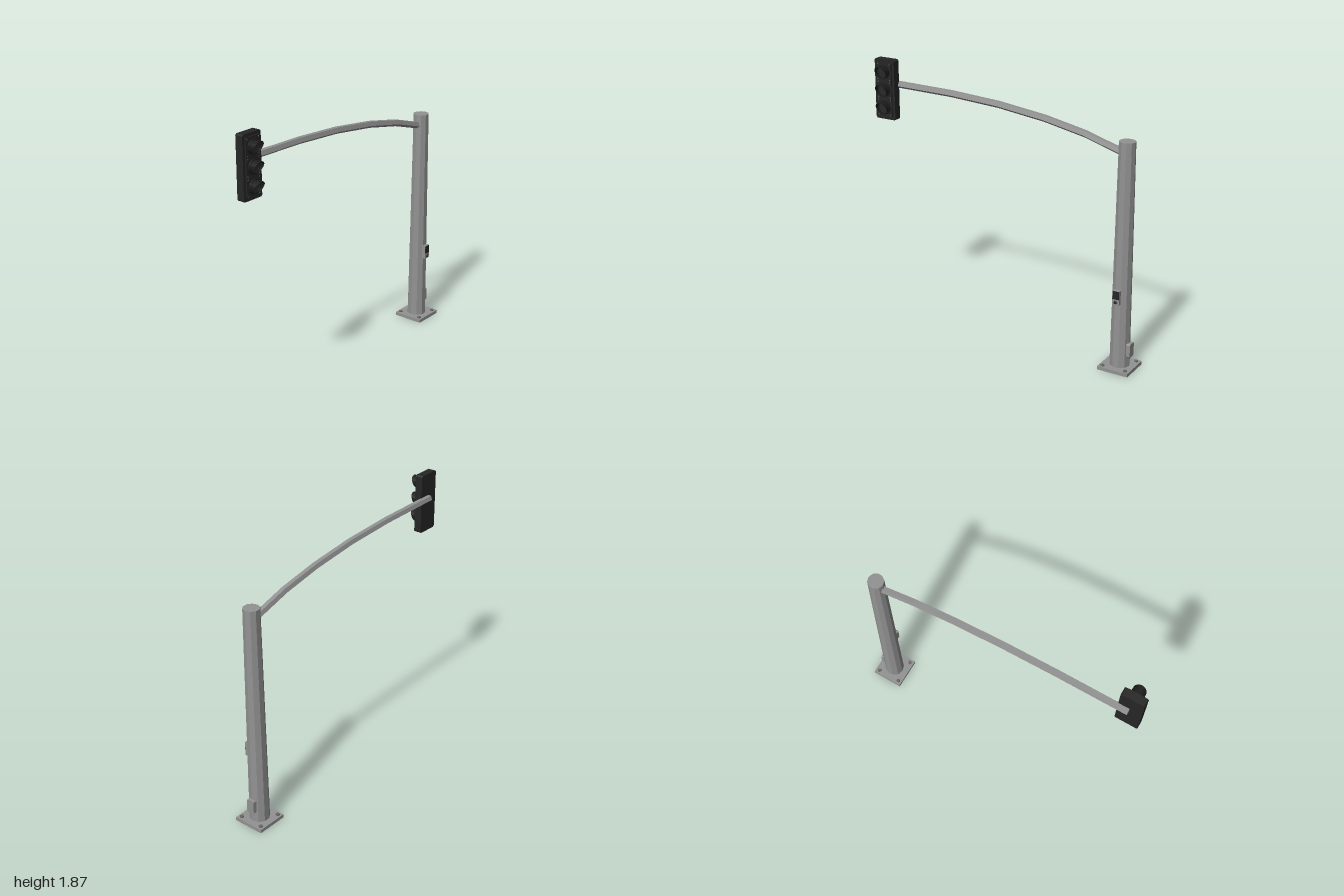
import * as THREE from 'three';

const mat = (name, color, opts = {}) => {
  const m = new THREE.MeshStandardMaterial({ color, flatShading: true, ...opts });
  m.name = name;
  return m;
};

export function createModel() {
  const steel = mat('galvanised grey', 0x929292);
  const bolt = mat('bolt grey', 0x686868);
  const dark = mat('housing black', 0x262626);
  const black = mat('visor black', 0x1c1c1c, { side: THREE.DoubleSide });
  const lensMat = mat('unlit lens', 0x292929);

  const model = new THREE.Group();
  model.name = 'trafficSignal';
  const PX = -0.016, PZ = -0.89;

  const add = (name, geo, material, x, y, z, parent = model) => {
    const mesh = new THREE.Mesh(geo, material);
    mesh.name = name;
    mesh.position.set(x, y, z);
    parent.add(mesh);
    return mesh;
  };
  const box = (w, h, d) => new THREE.BoxGeometry(w, h, d);
  // cylinder whose axis runs along +x
  const discX = (r, len, n) => new THREE.CylinderGeometry(r, r, len, n).rotateZ(-Math.PI / 2);
  // slab with chamfered corners: width along z, height along y, depth along +x
  const slabX = (w, h, depth, c) => {
    const a = w / 2, b = h / 2;
    const shape = new THREE.Shape([
      [-a + c, -b], [a - c, -b], [a, -b + c], [a, b - c],
      [a - c, b], [-a + c, b], [-a, b - c], [-a, -b + c],
    ].map(([x, y]) => new THREE.Vector2(x, y)));
    return new THREE.ExtrudeGeometry(shape, { depth, bevelEnabled: false }).rotateY(Math.PI / 2);
  };

  // Base plate with four anchor bolts
  add('basePlate', box(0.22, 0.024, 0.22), steel, PX, 0.012, PZ);
  for (const sx of [-1, 1]) for (const sz of [-1, 1]) {
    add('anchorBolt', new THREE.CylinderGeometry(0.014, 0.014, 0.008, 6), bolt,
      PX + sx * 0.084, 0.028, PZ + sz * 0.082);
  }

  // Tapered ten-sided pole
  add('pole', new THREE.CylinderGeometry(0.055, 0.068, 1.542, 10), steel, PX, 0.791, PZ);

  // Rear access box
  add('accessBox', slabX(0.058, 0.097, 0.036, 0.007).rotateY(Math.PI / 2), steel, PX, 0.145, -0.939);

  // Push-button unit on the side of the pole
  add('buttonBox', box(0.03, 0.098, 0.048), steel, 0.054, 0.529, -0.886);
  add('buttonSign', box(0.003, 0.056, 0.046), dark, 0.0695, 0.549, -0.886);
  add('buttonRing', discX(0.014, 0.004, 10), bolt, 0.07, 0.5, -0.886);
  add('button', discX(0.009, 0.01, 10), dark, 0.074, 0.5, -0.886);

  // Curved mast arm: pentagon section, flat on top, swept along [z, y] points
  const path = [[-0.88, 1.478], [-0.594, 1.563], [-0.3, 1.62], [0.05, 1.662], [0.42, 1.683], [0.918, 1.69]];
  const N = 5, R = 0.025, pos = [], idx = [];
  path.forEach(([z, y], i) => {
    const p = path[Math.max(i - 1, 0)], q = path[Math.min(i + 1, path.length - 1)];
    const slope = Math.atan2(q[1] - p[1], q[0] - p[0]);
    for (let k = 0; k < N; k++) {
      const a = -Math.PI / 2 + (k / N) * Math.PI * 2;
      const u = R * Math.sin(a);
      pos.push(R * Math.cos(a), y + u * Math.cos(slope), z - u * Math.sin(slope));
      if (i < path.length - 1) {
        const b = i * N, k2 = (k + 1) % N;
        idx.push(b + k, b + k2, b + N + k2, b + k, b + N + k2, b + N + k);
      }
    }
  });
  const last = (path.length - 1) * N;
  for (let k = 1; k < N - 1; k++) {
    idx.push(0, k + 1, k, last, last + k, last + k + 1);
  }
  const armGeo = new THREE.BufferGeometry();
  armGeo.setAttribute('position', new THREE.Float32BufferAttribute(pos, 3));
  armGeo.setIndex(idx);
  armGeo.computeVertexNormals();
  add('mastArm', armGeo, steel, PX, 0, 0);

  // Signal head facing +x
  const head = new THREE.Group();
  head.name = 'signalHead';
  head.position.set(0, 1.657, 0.92);
  model.add(head);
  add('housing', slabX(0.16, 0.42, 0.054, 0.009), dark, -0.006, 0, 0, head);
  add('frontPanel', slabX(0.12, 0.378, 0.01, 0.005), dark, 0.047, 0, 0, head);

  for (const y of [0.125, 0, -0.125]) {
    // Lens and its collar
    add('lensCollar', new THREE.CylinderGeometry(0.048, 0.048, 0.018, 16, 1, true).rotateZ(-Math.PI / 2),
      black, 0.064, y, 0, head);
    add('lens', discX(0.039, 0.008, 16), lensMat, 0.06, y, 0, head);
    // Rim closing the gap between lens and collar
    add('lensRim', new THREE.RingGeometry(0.037, 0.048, 16).rotateY(Math.PI / 2), black, 0.0725, y, 0, head);

    // Hood: a tube cut on a slant, long above and short below
    const hood = new THREE.CylinderGeometry(0.044, 0.044, 1, 16, 1, true).rotateZ(-Math.PI / 2);
    const p = hood.attributes.position;
    for (let i = 0; i < p.count; i++) {
      const reach = 0.003 + 0.047 * (p.getY(i) + 0.044) / 0.088;
      p.setX(i, p.getX(i) > 0 ? reach : 0);
    }
    hood.computeVertexNormals();
    add('visor', hood, black, 0.072, y, 0, head);

    // Panel screws
    for (const sy of [-1, 1]) for (const sz of [-1, 1]) {
      add('screw', discX(0.004, 0.004, 6), bolt, 0.058, y + sy * 0.053, sz * 0.049, head);
    }
  }
  return model;
}
